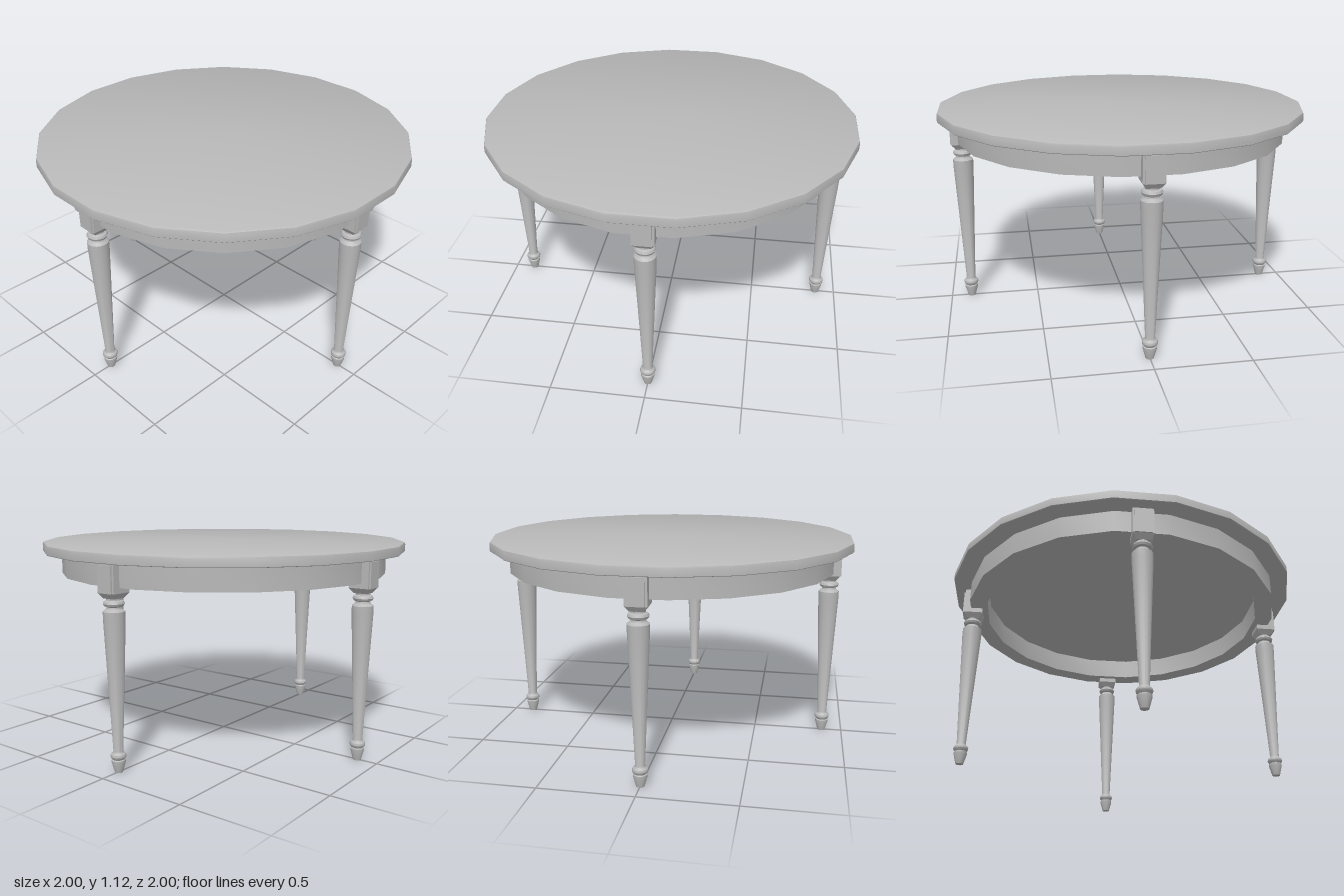
import * as THREE from 'three';
import { toCreasedNormals } from 'three/addons/utils/BufferGeometryUtils.js';

const wood = new THREE.MeshStandardMaterial({ color: 0xb8b8b8 });
wood.name = 'plain grey';

function part(name, geometry, parent) {
  const mesh = new THREE.Mesh(geometry, wood);
  mesh.name = name;
  parent.add(mesh);
  return mesh;
}

// Turned solid from [radius, height] pairs, listed so the surface faces outwards
function turned(points, sides, start = 0) {
  const profile = points.map(([r, y]) => new THREE.Vector2(r, y));
  return toCreasedNormals(new THREE.LatheGeometry(profile, sides, start), 0.6);
}

const SIDES = 20;
const HALF_STEP = Math.PI / SIDES;
const flat = 1 / Math.cos(HALF_STEP); // distance to a flat -> distance to a corner

function createLeg() {
  const leg = new THREE.Group();

  // Square block at the apron, with a raised outer panel
  part('legBlock', new THREE.BoxGeometry(0.11, 0.15, 0.105), leg).position.set(0, 0.995, 0);
  part('legPanel', new THREE.BoxGeometry(0.088, 0.135, 0.014), leg).position.set(0, 0.9875, 0.054);

  // Chamfer under the block
  const chamfer = new THREE.CylinderGeometry(0.055 * Math.SQRT2, 0.035 * Math.SQRT2, 0.028, 4)
    .rotateY(Math.PI / 4).toNonIndexed();
  chamfer.computeVertexNormals();
  part('legChamfer', chamfer, leg).position.y = 0.906;

  // Turned neck rings, tapered shaft and foot
  part('legShaft', turned([
    [0, 0], [0.021, 0], [0.036, 0.055], [0.036, 0.066], [0.031, 0.07],
    [0.039, 0.08], [0.041, 0.088], [0.038, 0.098], [0.028, 0.106], [0.025, 0.115],
    [0.055, 0.79], [0.055, 0.828], [0.038, 0.842], [0.036, 0.85],
    [0.048, 0.856], [0.053, 0.867], [0.048, 0.878], [0.036, 0.884], [0.036, 0.9],
  ], 16), leg);
  return leg;
}

export function createModel() {
  const table = new THREE.Group();
  table.name = 'roundTable';

  // Faceted top with a softened upper rim
  part('tableTop', turned([
    [0, 1.07], [flat * 0.997, 1.07], [flat, 1.073], [flat, 1.11],
    [flat * 0.997, 1.119], [flat * 0.988, 1.124], [0, 1.124],
  ], SIDES, HALF_STEP), table);

  // Hollow apron ring
  const outer = 0.9 * flat, inner = 0.8 * flat;
  part('apron', turned([
    [inner, 1.07], [inner, 0.947], [outer, 0.947], [outer, 1.07],
  ], SIDES, HALF_STEP), table);

  // One leg on each axis, panel facing outwards
  ['frontLeg', 'leftLeg', 'backLeg', 'rightLeg'].forEach((name, i) => {
    const angle = i * Math.PI / 2;
    const leg = createLeg();
    leg.name = name;
    leg.rotation.y = angle;
    leg.position.set(0.886 * Math.sin(angle), 0, 0.886 * Math.cos(angle));
    table.add(leg);
  });

  return table;
}
